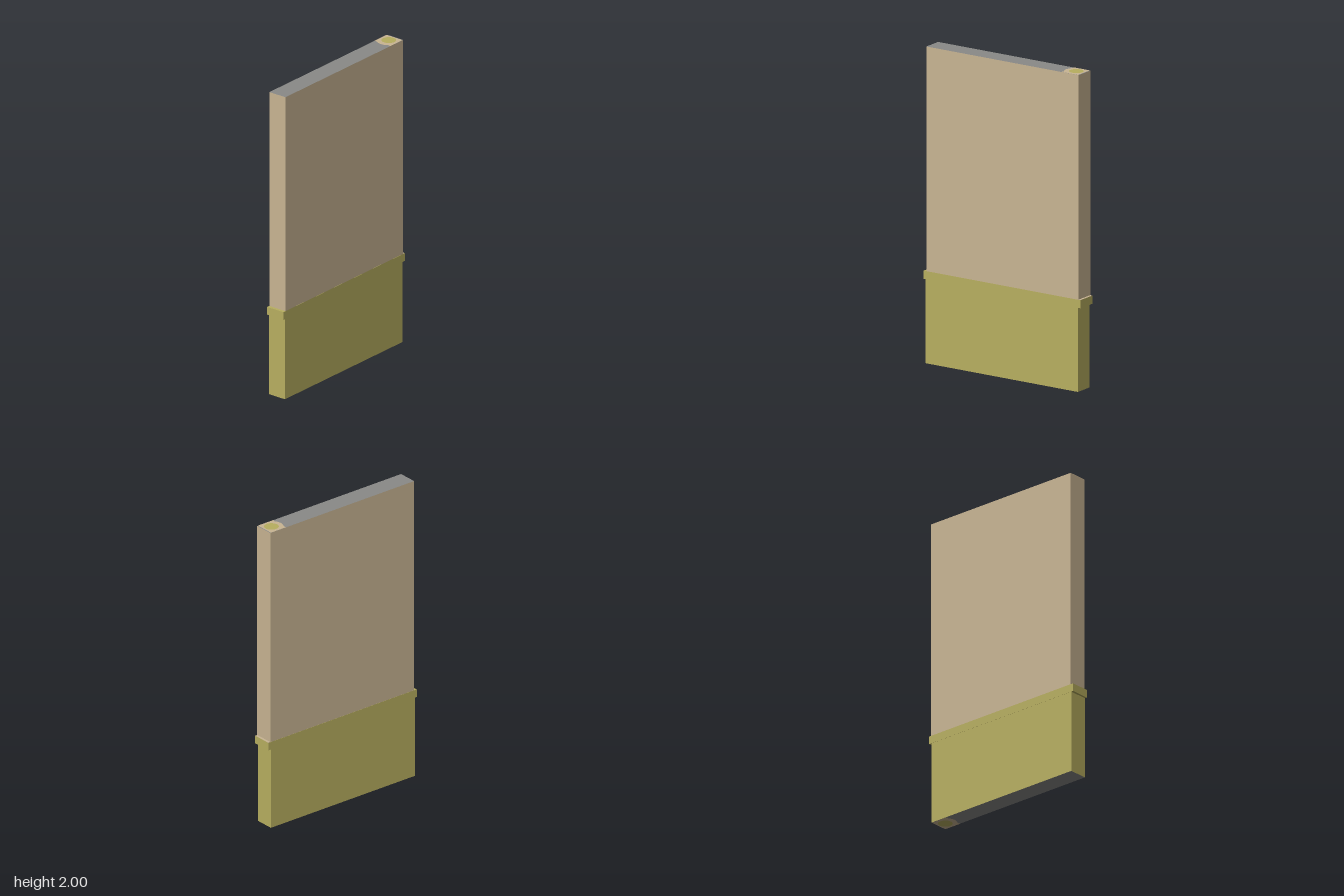
import * as THREE from 'three';

const W = 0.125; // panel thickness along x

export function createModel() {
  const mat = (name, color) => {
    const m = new THREE.MeshStandardMaterial({ color });
    m.name = name;
    return m;
  };
  const tan = mat('tan', 0xc9b593);
  const olive = mat('olive', 0xb8af60);
  const grey = mat('grey', 0x8a8a88);

  const model = new THREE.Group();
  model.name = 'wallPanel';
  const add = (name, geometry, material, y = 0, z = 0, parent = model) => {
    const mesh = new THREE.Mesh(geometry, material);
    mesh.name = name;
    mesh.position.set(0, y, z);
    parent.add(mesh);
    return mesh;
  };

  // Upper wall with a grey top, lower wall with a grey underside
  const box = (name, w, y0, y1, z0, z1, materials) =>
    add(name, new THREE.BoxGeometry(w, y1 - y0, z1 - z0), materials, (y0 + y1) / 2, (z0 + z1) / 2);
  box('upperWall', W, 0.55, 1.998, -0.565, 0.56, [tan, tan, grey, tan, tan, tan]);
  box('lowerWall', W, 0.002, 0.55, -0.56, 0.565, [olive, olive, olive, grey, olive, olive]);

  // Trim rail that juts out at both ends
  box('trimRail', W + 0.002, 0.532, 0.583, -0.58, 0.58, olive);
  box('rearTrimCap', W, 0.582, 0.584, -0.58, -0.565, tan);

  // Tan end patch with a scalloped edge, drawn as x and -z
  const h = W / 2;
  const patch = new THREE.Shape();
  patch.moveTo(-h, 0.56);
  patch.lineTo(-h, 0.44);
  patch.lineTo(-0.045, 0.445);
  patch.quadraticCurveTo(0, 0.413, 0.045, 0.445);
  patch.lineTo(h, 0.44);
  patch.lineTo(h, 0.56);
  patch.closePath();
  const patchGeometry = new THREE.ShapeGeometry(patch).rotateX(-Math.PI / 2);
  const dotGeometry = new THREE.CircleGeometry(0.045, 32).rotateX(-Math.PI / 2);

  // The same marking on the top and on the underside
  for (const side of ['top', 'bottom']) {
    const marking = new THREE.Group();
    marking.name = side + 'Marking';
    add(side + 'Patch', patchGeometry, tan, 0.001, 0, marking);
    add(side + 'Dot', dotGeometry, olive, 0.002, -0.505, marking);
    if (side === 'top') {
      marking.position.y = 1.998;
    } else {
      marking.rotation.z = Math.PI;
      marking.position.y = 0.002;
    }
    model.add(marking);
  }
  return model;
}
